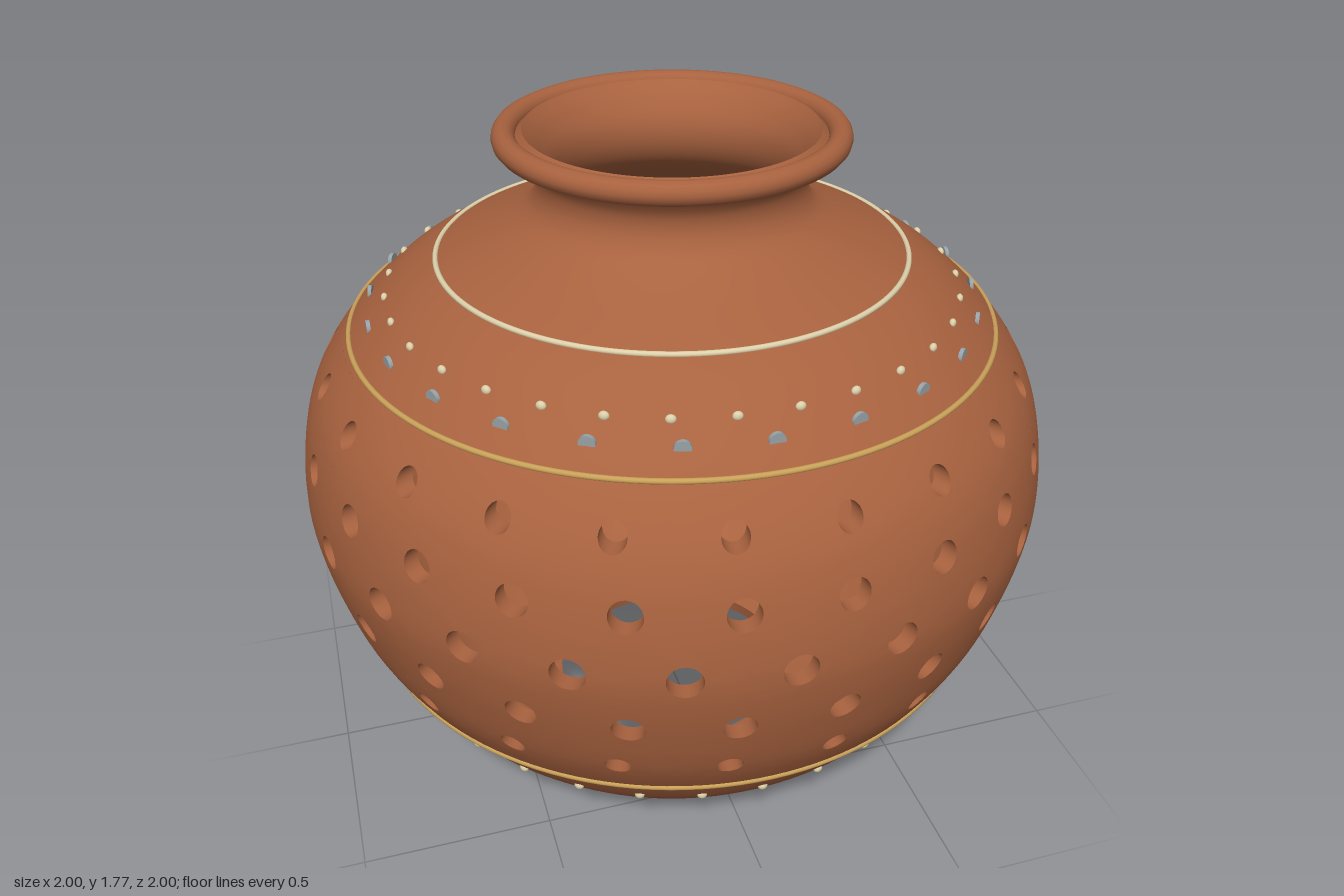
import * as THREE from 'three';
import { mergeGeometries } from 'three/addons/utils/BufferGeometryUtils.js';
import { ParametricGeometry } from 'three/addons/geometries/ParametricGeometry.js';

const paint = (color) => new THREE.MeshStandardMaterial({ color });
const CLAY = paint(0xa8623f), CREAM = paint(0xddd0aa), GOLD = paint(0xc8a058), MIRROR = paint(0x98a2a6);
const WALL = 0.042;

// Outer wall profile, foot to neck, as [radius, height]
const profile = new THREE.SplineCurve([
  [0.35, 0], [0.46, 0.02], [0.565, 0.06], [0.65, 0.12], [0.73, 0.2], [0.8, 0.285], [0.875, 0.4],
  [0.93, 0.51], [0.97, 0.64], [0.993, 0.75], [1, 0.84], [0.99, 0.95], [0.965, 1.06], [0.925, 1.15],
  [0.86, 1.24], [0.78, 1.32], [0.7, 1.385], [0.605, 1.44], [0.46, 1.507], [0.378, 1.555],
  [0.345, 1.6], [0.342, 1.65], [0.367, 1.695], [0.4, 1.73],
].map(([r, y]) => new THREE.Vector2(r, y)));

// Matching outer and inner outlines, the inner one set back by the wall thickness
const STEPS = 184;
const outer = profile.getPoints(STEPS);
const inner = outer.map((p, i) => {
  const t = profile.getTangent(i / STEPS);
  return new THREE.Vector2(p.x - t.y * WALL, p.y + t.x * WALL);
});

// Radius of an outline at height y
function radiusAt(line, y) {
  let i = 1;
  while (i < line.length - 1 && line[i].y < y) i++;
  const a = line[i - 1], b = line[i];
  return a.x + (b.x - a.x) * (y - a.y) / (b.y - a.y);
}

// The stretch of an outline between two heights, with exact end points
function stretch(line, low, high) {
  const pts = line.filter((p) => p.y > low + 0.002 && p.y < high - 0.002);
  if (low > 0) pts.unshift(new THREE.Vector2(radiusAt(line, low), low));
  if (high < 1.7) pts.push(new THREE.Vector2(radiusAt(line, high), high));
  return pts;
}

const lathe = (pts) => new THREE.LatheGeometry(pts, 144);

// One wall cell with a round hole bored straight through it
function piercedCell(y0, low, high, count, hole) {
  const half = Math.PI / count;
  const place = (line, theta, y, target) => {
    const r = radiusAt(line, y);
    target.set(r * Math.sin(theta), y, r * Math.cos(theta));
  };
  // Points on the hole edge and on the cell border, counter-clockwise
  const edge = (line, u) => {
    const t = u * 4, side = Math.floor(t) % 4, f = 2 * (t - Math.floor(t)) - 1;
    const [px, py] = [[1, f], [-f, 1], [-1, -f], [f, -1]][side];
    const a = Math.atan2(py, px), y = y0 + hole * Math.sin(a);
    return {
      hole: [Math.asin(hole * Math.cos(a) / radiusAt(line, y)), y],
      border: [px * half, py > 0 ? y0 + py * (high - y0) : y0 + py * (y0 - low)],
    };
  };
  const skin = (line, clockwise) => new ParametricGeometry((u, v, target) => {
    const e = edge(line, clockwise ? 1 - u : u);
    const mix = (k) => e.hole[k] + (e.border[k] - e.hole[k]) * v;
    place(line, mix(0), mix(1), target);
  }, 32, 3);
  const a = new THREE.Vector3(), b = new THREE.Vector3();
  const bore = new ParametricGeometry((u, v, target) => {
    place(outer, ...edge(outer, u).hole, a);
    place(inner, ...edge(inner, u).hole, b);
    target.lerpVectors(a, b, v);
  }, 32, 1);
  return mergeGeometries([skin(outer, true), skin(inner, false), bore]);
}

export function createModel() {
  const model = new THREE.Group();
  const add = (name, geometry, material, parent = model) => {
    const mesh = new THREE.Mesh(geometry, material);
    mesh.name = name;
    parent.add(mesh);
    return mesh;
  };

  // Rows of holes: height, number, radius, half-step shift
  const rows = [
    [0.514, 22, 0.032, 0.5], [0.676, 24, 0.04, 0.5], [0.84, 24, 0.043, 0],
    [1.002, 24, 0.04, 0.5], [1.164, 22, 0.032, 0.5],
  ];
  const limits = [0.433, 0.595, 0.758, 0.921, 1.083, 1.245];

  // Foot, open underneath
  const footOuter = stretch(outer, 0, limits[0]), footInner = stretch(inner, 0, limits[0]);
  footOuter.unshift(outer[0]);
  add('foot', mergeGeometries([
    lathe(footOuter), lathe([...footInner].reverse()), lathe([footInner[0], footOuter[0]]),
  ]), CLAY);

  // Pierced belly, one band per row
  rows.forEach(([y, count, hole, shift], i) => {
    const cell = piercedCell(y, limits[i], limits[i + 1], count, hole);
    const cells = [];
    for (let k = 0; k < count; k++) cells.push(cell.clone().rotateY((k + shift) * 2 * Math.PI / count));
    add('piercedBand' + (i + 1), mergeGeometries(cells), CLAY);
  });

  // Shoulder and flared neck
  const neckOuter = stretch(outer, limits[5], 2), neckInner = stretch(inner, limits[5], 2);
  add('shoulderAndNeck', mergeGeometries([
    lathe(neckOuter), lathe([...neckInner].reverse()), lathe([neckOuter.at(-1), neckInner.at(-1)]),
  ]), CLAY);

  // Rolled rim
  const ring = (name, radius, y, tube, material) =>
    add(name, new THREE.TorusGeometry(radius, tube, 14, 128).rotateX(Math.PI / 2).translate(0, y, 0), material);
  ring('rim', 0.415, 1.74, 0.03, CLAY);

  // Inlaid rings
  ring('shoulderRing', radiusAt(outer, 1.44), 1.44, 0.007, CREAM);
  ring('upperRing', radiusAt(outer, 1.262), 1.262, 0.007, GOLD);
  ring('lowerRing', radiusAt(outer, 0.384), 0.384, 0.008, GOLD);

  // Studs set around the wall
  const studs = (name, geometry, y, count, shift, material) => {
    const group = new THREE.Group();
    group.name = name;
    for (let k = 0; k < count; k++) {
      const theta = (k + shift) * 2 * Math.PI / count, r = radiusAt(outer, y);
      const stud = add('stud', geometry, material, group);
      stud.position.set(r * Math.sin(theta), y, r * Math.cos(theta));
      stud.rotation.y = theta;
    }
    model.add(group);
  };
  const bead = new THREE.SphereGeometry(0.013, 12, 8).scale(1, 0.9, 0.7);
  const disc = new THREE.CylinderGeometry(0.02, 0.02, 0.01, 20).rotateX(Math.PI / 2);
  studs('upperBeads', bead, 1.355, 32, 0.5, CREAM);
  studs('mirrorDiscs', disc, 1.312, 24, 0, MIRROR);
  studs('lowerBeads', bead, 0.288, 32, 0, CREAM);

  return model;
}
